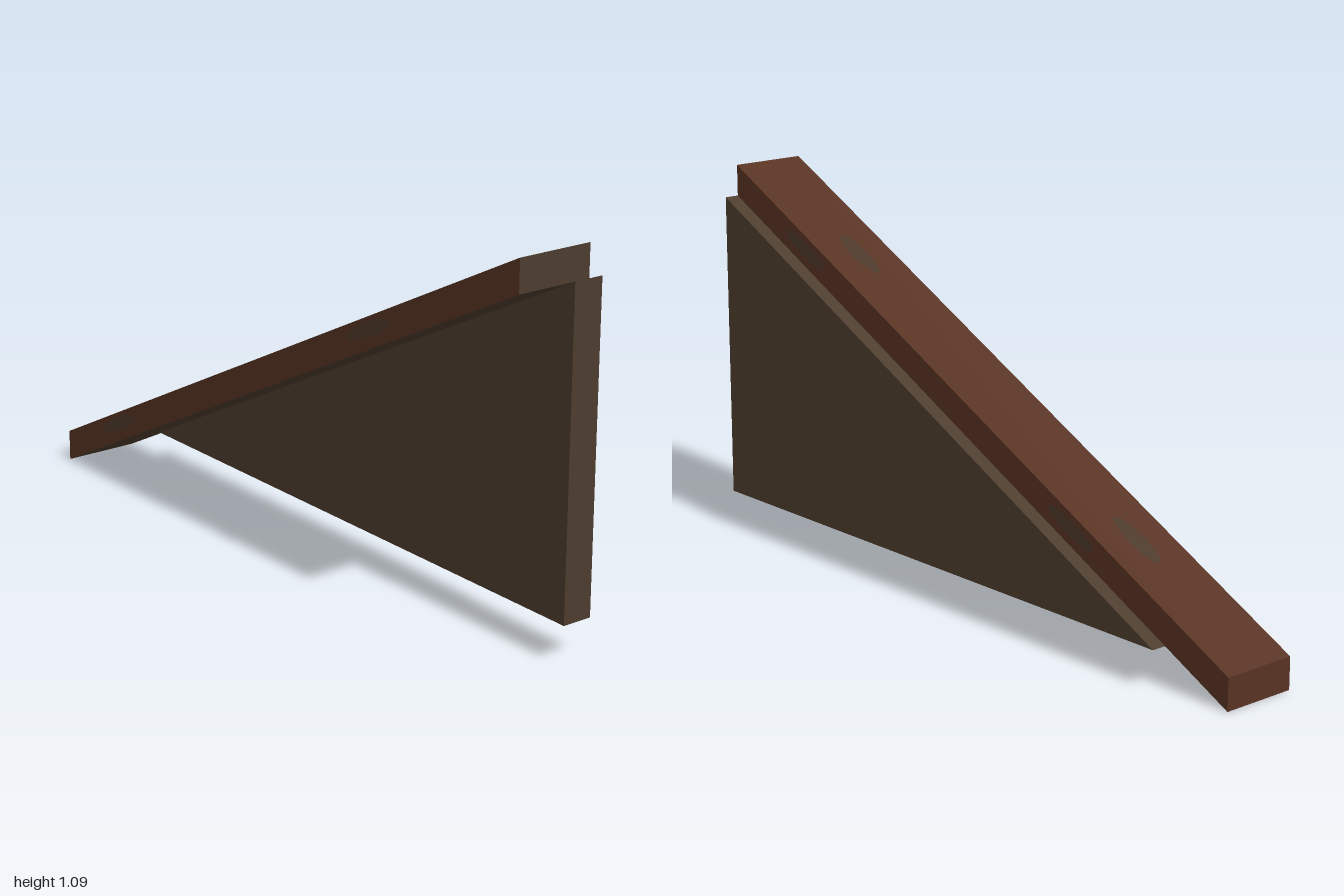
import * as THREE from 'three';

const red = new THREE.MeshStandardMaterial({ color: 0x573222 });
red.name = 'reddish wood';
const brown = new THREE.MeshStandardMaterial({ color: 0x4c3c2d });
brown.name = 'dull brown wood';
const worn = new THREE.MeshStandardMaterial({ color: 0x4b3829 });
worn.name = 'worn patch';

// Upright slab: an outline in x/y, counter-clockwise, extruded from z0 to z1
function slab(points, z0, z1) {
  const shape = new THREE.Shape(points.map(([x, y]) => new THREE.Vector2(x, y)));
  const g = new THREE.ExtrudeGeometry(shape, { depth: z1 - z0, bevelEnabled: false });
  return g.translate(0, 0, z0);
}

export function createModel() {
  const model = new THREE.Group();
  model.name = 'stairSide';
  const back = -0.09, front = 0.133, thick = 0.09, slope = Math.atan(0.5);

  // Sloping rail: red, with a brown underside and a brown upper end
  const railGeo = slab([[-1, 0], [1, 1], [1, 1 + thick], [-1, thick]], back, front);
  railGeo.clearGroups();
  const normals = railGeo.attributes.normal;
  for (let i = 0; i < normals.count; i += 3) {
    const plain = normals.getX(i) > 0.99 || normals.getY(i) < -0.5;
    railGeo.addGroup(i, 3, plain ? 1 : 0);
  }
  const rail = new THREE.Mesh(railGeo, [red, brown]);
  rail.name = 'slopingRail';
  model.add(rail);

  // Triangular panel under the rail
  const panel = new THREE.Mesh(slab([[-0.78, 0.11], [1, 0.11], [1, 1]], -0.133, -0.045), brown);
  panel.name = 'triangularPanel';
  model.add(panel);

  // Worn spots lying on the rail: side, x, z or height above the rail's underside
  const spots = [
    ['top', -0.56, 0.022], ['top', 0.575, 0.022],
    ['front', -0.72, 0.055], ['front', 0.44, 0.055],
    ['back', -0.43, 0.05], ['back', 0.68, 0.05],
  ];
  for (const [side, x, v] of spots) {
    const g = new THREE.CircleGeometry(1, 12).scale(0.095, side === 'top' ? 0.028 : 0.02, 1);
    const under = 0.5 * (x + 1);
    if (side === 'top') g.rotateX(-Math.PI / 2);
    if (side === 'back') g.rotateY(Math.PI);
    g.rotateZ(slope);
    const spot = new THREE.Mesh(g, worn);
    spot.name = side + 'WornSpot';
    if (side === 'top') spot.position.set(x, under + thick + 0.002, v);
    else spot.position.set(x, under + v, side === 'front' ? front + 0.002 : back - 0.002);
    model.add(spot);
  }
  return model;
}
